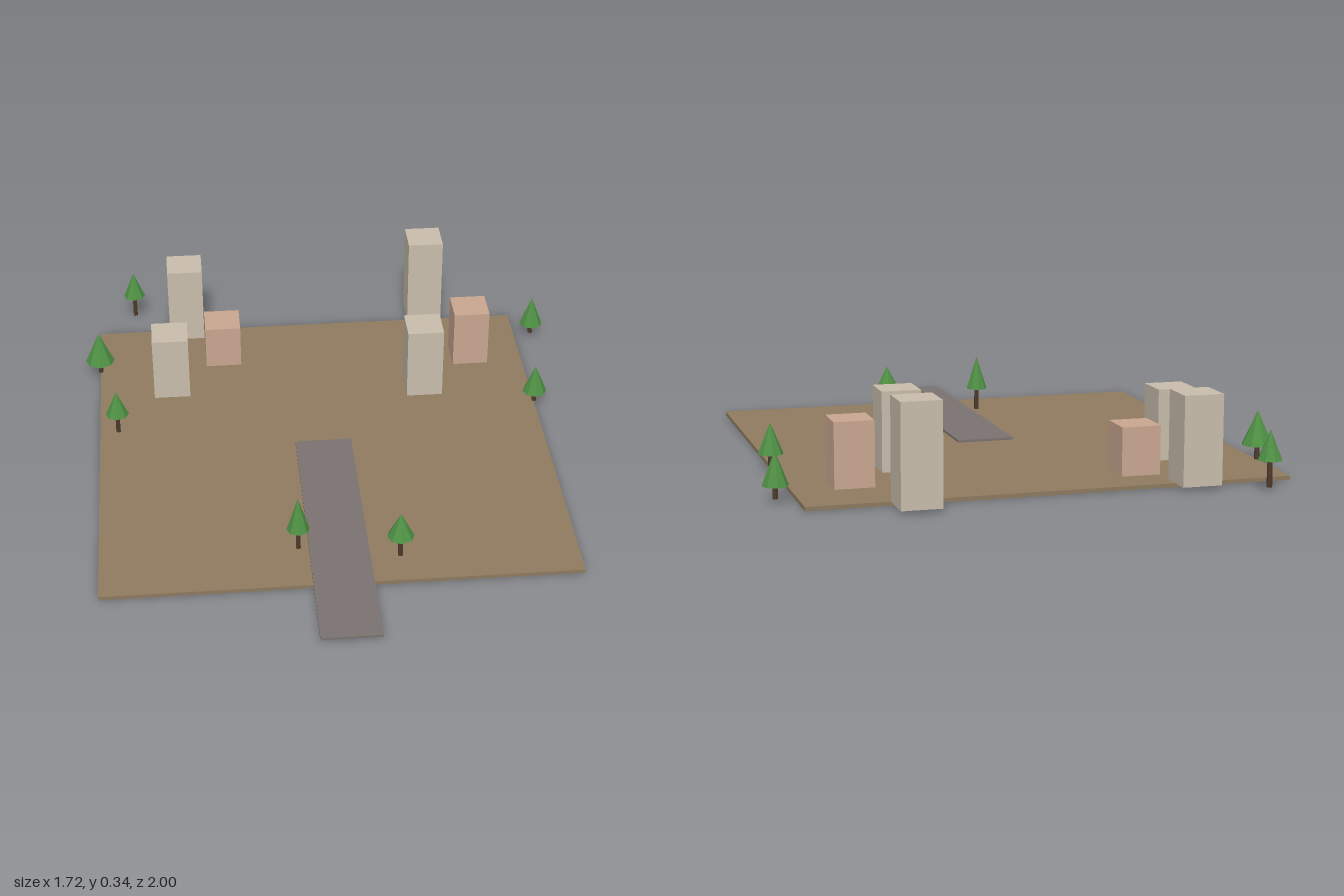
import * as THREE from 'three';

const paint = (name, color) => {
  const m = new THREE.MeshStandardMaterial({ color });
  m.name = name;
  return m;
};

export function createModel() {
  const soil = paint('soil brown', 0x8f7b60);
  const asphalt = paint('road grey', 0x7b7370);
  const stone = paint('beige wall', 0xc9beac);
  const clay = paint('pink clay wall', 0xc9a791);
  const leaf = paint('leaf green', 0x4f9044);
  const bark = paint('bark brown', 0x4d3b2c);

  const model = new THREE.Group();
  model.name = 'village';
  const GROUND = 0.013;

  function box(name, material, w, h, d, x, y, z) {
    const mesh = new THREE.Mesh(new THREE.BoxGeometry(w, h, d), material);
    mesh.name = name;
    mesh.position.set(x, y + h / 2, z);
    model.add(mesh);
  }

  // ground slab and the road running off its front edge
  box('ground', soil, 1.565, GROUND, 1.565, -0.028, 0, -0.05);
  box('road', asphalt, 0.196, 0.008, 1.05, -0.028, GROUND, 0.475);

  // buildings: x, z, roof height, wall colour
  const buildings = [
    [-0.485, -0.835, 0.302, stone],
    [0.428, -0.898, 0.34, stone],
    [-0.355, -0.637, 0.172, clay],
    [-0.55, -0.443, 0.25, stone],
    [0.56, -0.571, 0.225, clay],
    [0.364, -0.377, 0.277, stone],
  ];
  for (const [x, z, top, wall] of buildings) {
    box('building', wall, 0.129, top - GROUND, 0.129, x, GROUND, z);
  }

  // trees: x, z, crown radius, crown base, tip
  const trees = [
    [-0.68, -0.963, 0.04, 0.1, 0.196],
    [-0.81, -0.571, 0.053, 0.062, 0.177],
    [-0.746, -0.18, 0.041, 0.088, 0.178],
    [0.82, -0.704, 0.042, 0.054, 0.163],
    [0.755, -0.246, 0.043, 0.054, 0.157],
    [-0.16, 0.537, 0.038, 0.091, 0.211],
    [0.168, 0.603, 0.045, 0.091, 0.178],
  ];
  for (const [x, z, radius, base, tip] of trees) {
    const tree = new THREE.Group();
    tree.name = 'tree';
    tree.position.set(x, 0, z);

    const crown = new THREE.Mesh(
      new THREE.ConeGeometry(radius, tip - base, 8).toNonIndexed(), leaf);
    crown.geometry.computeVertexNormals(); // faceted sides
    crown.name = 'crown';
    crown.position.y = (base + tip) / 2;

    const trunkHeight = base + 0.005 - GROUND;
    const trunk = new THREE.Mesh(
      new THREE.CylinderGeometry(0.008, 0.009, trunkHeight, 6).toNonIndexed(), bark);
    trunk.geometry.computeVertexNormals();
    trunk.name = 'trunk';
    trunk.position.y = GROUND + trunkHeight / 2;

    tree.add(crown, trunk);
    model.add(tree);
  }
  return model;
}
